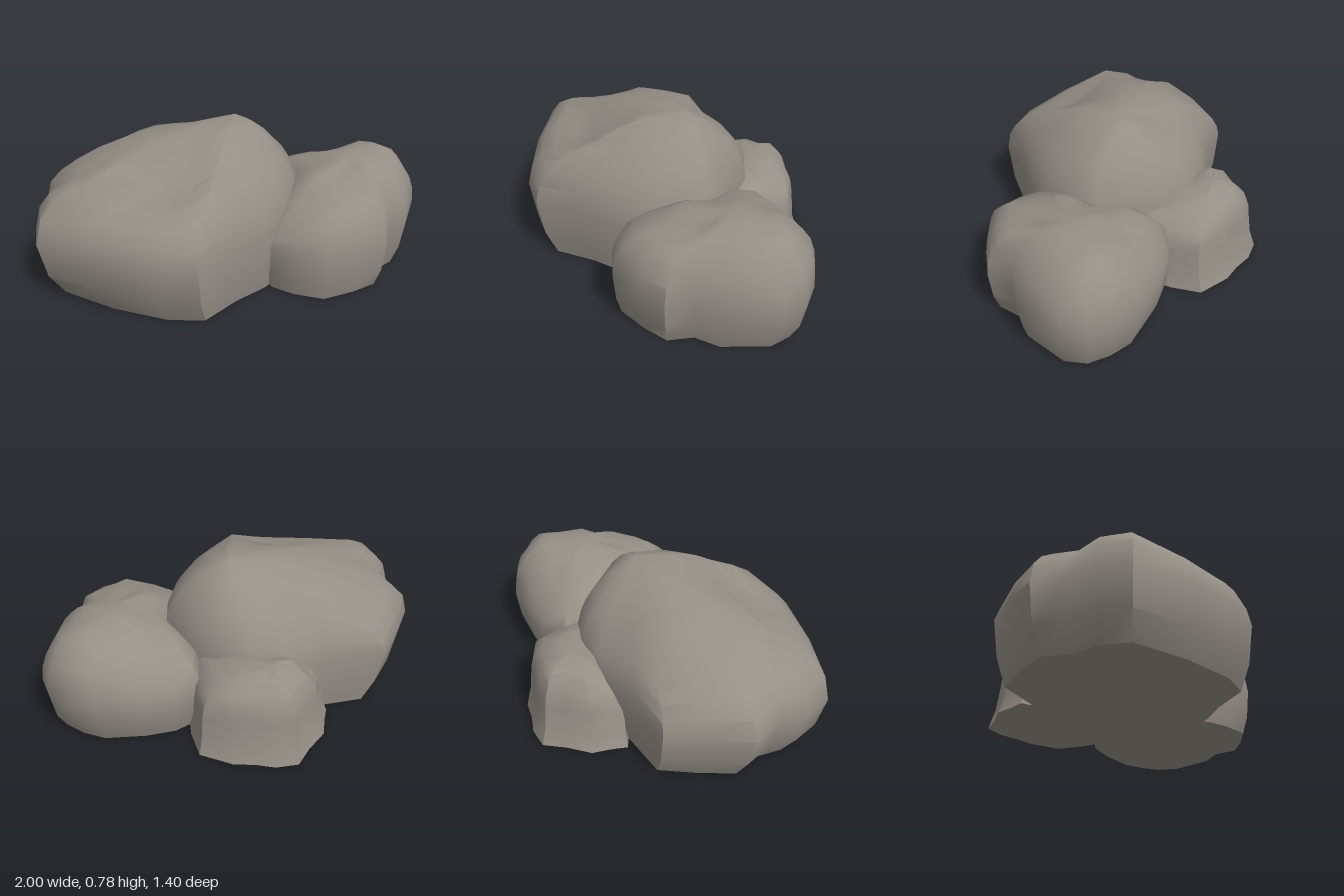
import * as THREE from 'three';
import { mergeVertices, toCreasedNormals } from 'three/addons/utils/BufferGeometryUtils.js';

const stone = new THREE.MeshStandardMaterial({ color: 0x958f86 });

// small seeded generator for surface roughness, -1..1
function seeded(seed) {
  let s = seed;
  return () => {
    s = (s * 16807) % 2147483647;
    return (s / 2147483647) * 2 - 1;
  };
}

// A boulder: widest outline [x, z], summit, rim height, footing scale and centre,
// dome exponents and dents [x, z, radius, depth], where a negative depth is a bump.
function boulder(name, { outline, summit, rim, foot, footAt, power, curve, dents, rough, seed }) {
  const [cx, peak, cz] = summit;
  const rand = seeded(seed);
  const n = outline.length;
  const positions = [];
  const index = [];

  // footing rings, then dome rings: [scale, height, centre x, centre z]
  const rings = [[foot, 0, ...footAt], [1 + (foot - 1) * 0.35, rim * 0.4, ...footAt], [1, rim, cx, cz]];
  for (const s of [0.97, 0.91, 0.82, 0.7, 0.57, 0.43, 0.25]) {
    rings.push([s, rim + (peak - rim) * Math.pow(1 - Math.pow(s, power), curve), cx, cz]);
  }
  rings.forEach(([s, h, mx, mz], r) => {
    for (const [ox, oz] of outline) {
      const x = mx + (ox - mx) * s;
      const z = mz + (oz - mz) * s;
      let y = h;
      if (r > 2) {
        y += rand() * rough;
        for (const [dx, dz, radius, depth] of dents) {
          const d = Math.hypot(x - dx, z - dz) / radius;
          if (d < 1) y -= depth * Math.min(1, 2 * (1 - d));
        }
      } else if (r > 0) {
        y += rand() * rough * 1.5;
      }
      positions.push(x, y, z);
    }
  });
  for (let r = 0; r < rings.length - 1; r++) {
    for (let i = 0; i < n; i++) {
      const a = r * n + i;
      const b = r * n + (i + 1) % n;
      index.push(a, a + n, b, b, a + n, b + n);
    }
  }

  // summit and flat underside
  const top = positions.length / 3;
  positions.push(cx, peak, cz, cx, 0, cz);
  const last = (rings.length - 1) * n;
  for (let i = 0; i < n; i++) {
    const j = (i + 1) % n;
    index.push(last + i, top, last + j);
    index.push(i, j, top + 1);
  }

  const geometry = new THREE.BufferGeometry();
  geometry.setAttribute('position', new THREE.Float32BufferAttribute(positions, 3));
  geometry.setIndex(index);
  const mesh = new THREE.Mesh(toCreasedNormals(mergeVertices(geometry), 0.8), stone);
  mesh.name = name;
  return mesh;
}

export function createModel() {
  const group = new THREE.Group();
  group.name = 'rockCluster';

  group.add(boulder('largeBoulder', {
    outline: [
      [-1, 0], [-0.96, -0.15], [-0.86, -0.27], [-0.82, -0.43], [-0.64, -0.53], [-0.44, -0.62],
      [-0.2, -0.5], [0.04, -0.44], [0.2, -0.35], [0.31, -0.2], [0.34, 0], [0.37, 0.17],
      [0.29, 0.28], [0.15, 0.4], [0, 0.47], [-0.2, 0.51], [-0.43, 0.59], [-0.6, 0.5], [-0.82, 0.27],
    ],
    summit: [0.07, 0.78, 0], rim: 0.31, foot: 0.9, footAt: [0.2, 0], power: 1.35, curve: 0.48,
    dents: [
      [-0.43, 0.22, 0.25, 0.07], [-0.9, -0.06, 0.14, -0.03], [-0.68, -0.1, 0.14, 0.02],
      [0, -0.27, 0.28, 0.035], [-0.4, -0.52, 0.2, 0.04], [-0.05, 0.22, 0.14, -0.02],
    ],
    rough: 0.005, seed: 17,
  }));

  group.add(boulder('frontBoulder', {
    outline: [
      [0.02, 0.4], [0.12, 0.26], [0.28, 0.1], [0.32, -0.1], [0.4, -0.19], [0.55, -0.18],
      [0.7, -0.11], [0.89, 0.02], [0.96, 0.13], [1, 0.25], [0.97, 0.37], [0.78, 0.545],
      [0.64, 0.58], [0.55, 0.69], [0.4, 0.7], [0.22, 0.685], [0.1, 0.57], [0.03, 0.46],
    ],
    summit: [0.58, 0.565, 0.3], rim: 0.24, foot: 0.9, footAt: [0.3, 0.28], power: 2.4, curve: 0.5,
    dents: [
      [0.42, 0.2, 0.14, 0.03], [0.46, 0.46, 0.17, 0.04], [0.16, 0.38, 0.22, 0.05],
      [0.58, -0.04, 0.24, 0.04], [0.88, 0.17, 0.2, -0.035],
    ],
    rough: 0.006, seed: 91,
  }));

  group.add(boulder('backBoulder', {
    outline: [
      [-0.14, -0.47], [-0.08, -0.52], [-0.02, -0.58], [0.1, -0.61], [0.2, -0.65], [0.29, -0.6],
      [0.35, -0.53], [0.42, -0.47], [0.46, -0.4], [0.5, -0.33], [0.45, -0.2], [0.34, -0.02],
      [0.1, -0.2], [-0.08, -0.35],
    ],
    summit: [0.18, 0.435, -0.44], rim: 0.22, foot: 1.11, footAt: [0.18, -0.2], power: 2.3, curve: 0.5,
    dents: [[-0.08, -0.48, 0.12, 0.05]], rough: 0.008, seed: 43,
  }));

  return group;
}
